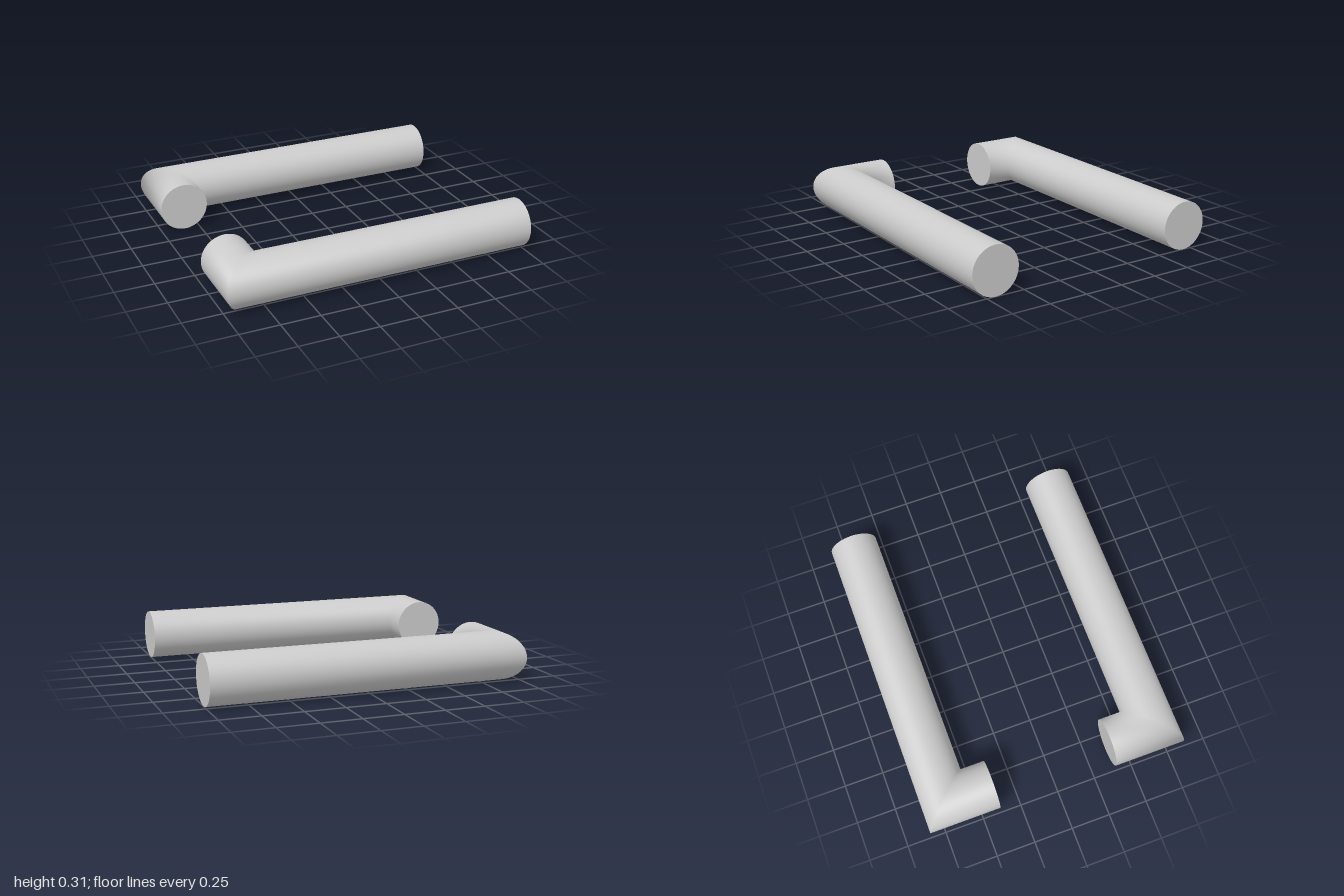
import * as THREE from 'three';

const R = 0.154;          // bar radius
const CORNER_X = -1 + R;  // axis of the short leg
const BAR_Z = 0.691;      // axis of the long bar
const LEG_Z = 0.386;      // open end of the short leg
const SIDES = 64;

// Mitred elbow: leg end ring, slanted mitre ring, bar end ring
function elbowGeometry() {
  const rings = [
    (c) => [CORNER_X - R * c, LEG_Z],
    (c) => [CORNER_X - R * c, BAR_Z + R * c],
    (c) => [1, BAR_Z + R * c],
  ];
  const positions = [];
  const index = [];
  rings.forEach((ring, k) => {
    for (let i = 0; i < SIDES; i++) {
      const a = (i / SIDES) * Math.PI * 2;
      const [x, z] = ring(Math.cos(a));
      positions.push(x, R * Math.sin(a), z);
      if (k === 2) continue;
      const p = k * SIDES + i;
      const q = k * SIDES + ((i + 1) % SIDES);
      index.push(p, p + SIDES, q, q, p + SIDES, q + SIDES);
    }
  });
  const geometry = new THREE.BufferGeometry();
  geometry.setAttribute('position', new THREE.Float32BufferAttribute(positions, 3));
  geometry.setIndex(index);
  geometry.computeVertexNormals();
  return geometry;
}

export function createModel() {
  const model = new THREE.Group();
  model.name = 'leverHandlePair';
  const material = new THREE.MeshStandardMaterial({ color: 0xcccccc });
  const elbow = elbowGeometry();
  const disc = new THREE.CircleGeometry(R, SIDES);

  // The back lever is the front one turned half way round the x axis
  for (const [name, turn] of [['front', 0], ['back', Math.PI]]) {
    const lever = new THREE.Group();
    lever.name = name + 'Lever';

    const bar = new THREE.Mesh(elbow, material);
    bar.name = name + 'Bar';

    const gripCap = new THREE.Mesh(disc, material);
    gripCap.name = name + 'GripCap';
    gripCap.position.set(1, 0, BAR_Z);
    gripCap.rotation.y = Math.PI / 2;

    const neckCap = new THREE.Mesh(disc, material);
    neckCap.name = name + 'NeckCap';
    neckCap.position.set(CORNER_X, 0, LEG_Z);
    neckCap.rotation.y = Math.PI;

    lever.add(bar, gripCap, neckCap);
    lever.position.y = R;
    lever.rotation.x = turn;
    model.add(lever);
  }
  return model;
}
